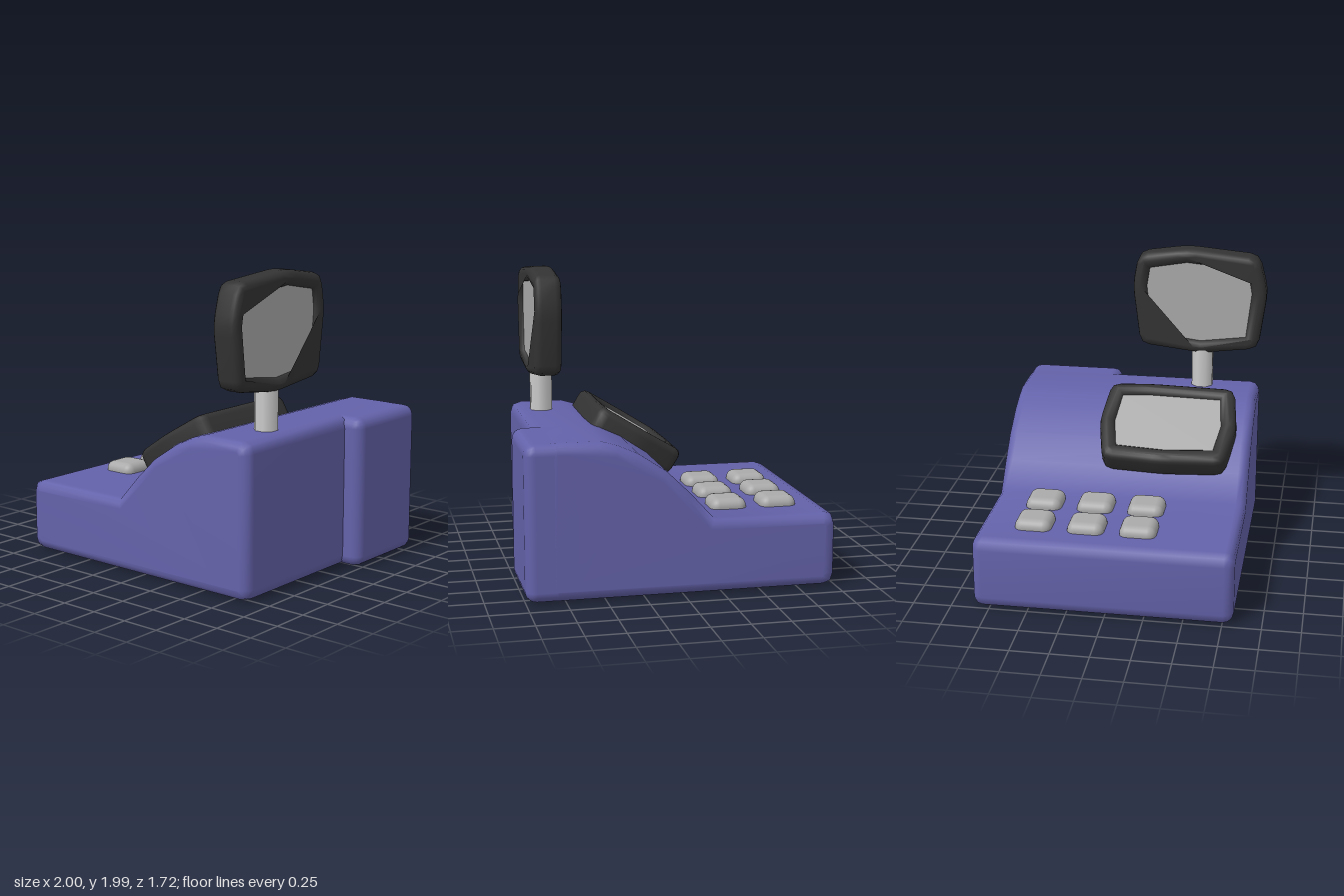
import * as THREE from 'three';
import { mergeVertices } from 'three/addons/utils/BufferGeometryUtils.js';
import { RoundedBoxGeometry } from 'three/addons/geometries/RoundedBoxGeometry.js';

const mat = (color) => new THREE.MeshStandardMaterial({ color });
const purple = mat(0x6462aa), dark = mat(0x333333), grey = mat(0xaaaaaa), light = mat(0xcccccc);

function mesh(name, geometry, material, x = 0, y = 0, z = 0) {
  const m = new THREE.Mesh(geometry, material);
  m.name = name;
  m.position.set(x, y, z);
  return m;
}

// Polygon whose corners are softened by a given radius (third value, or the default)
function softPoints(points, radius) {
  const v = points.map(([x, y]) => new THREE.Vector2(x, y));
  const out = [];
  v.forEach((p, i) => {
    const r = points[i][2] ?? radius;
    if (r === 0) return out.push(p);
    const prev = v[(i + v.length - 1) % v.length], next = v[(i + 1) % v.length];
    const a = p.clone().add(prev.clone().sub(p).setLength(r));
    const b = p.clone().add(next.clone().sub(p).setLength(r));
    const mid = p.clone().multiplyScalar(0.5).addScaledVector(a, 0.25).addScaledVector(b, 0.25);
    out.push(a, mid, b);
  });
  return out;
}

// Extrusion centred on z with rounded rims and area-weighted smooth normals
function softExtrude(shape, depth, bevel) {
  const raw = new THREE.ExtrudeGeometry(shape, {
    depth: depth - 2 * bevel, bevelEnabled: true, bevelThickness: bevel,
    bevelSize: bevel, bevelOffset: -bevel, bevelSegments: 3,
  });
  raw.translate(0, 0, bevel - depth / 2);
  raw.deleteAttribute('uv');
  raw.deleteAttribute('normal');
  const geo = mergeVertices(raw, 1e-4);
  geo.computeVertexNormals();
  return geo;
}

// Rounded frame holding a screen that shows on both faces
function display(name, outer, inner) {
  const group = new THREE.Group();
  group.name = name;
  const shape = new THREE.Shape(softPoints(outer, 0.065));
  shape.holes.push(new THREE.Path(inner.map(([x, y]) => new THREE.Vector2(x, y)).reverse()));
  group.add(mesh('frame', softExtrude(shape, 0.18, 0.045), dark));
  const pane = new THREE.Shape(inner.map(([x, y]) => new THREE.Vector2(x * 1.06, y * 1.06)));
  const paneGeo = new THREE.ExtrudeGeometry(pane, { depth: 0.12, bevelEnabled: false });
  group.add(mesh('screen', paneGeo.translate(0, 0, -0.06), grey));
  return group;
}

export function createModel() {
  const model = new THREE.Group();
  model.name = 'cashRegister';

  // Body: low keypad deck, curved slope, tall rear part
  const profile = [
    [-1, 0], [0.88, 0], [0.88, 1], [0.52, 1, 0], [0.41, 0.968, 0], [0.28, 0.91, 0],
    [0.1, 0.79, 0], [-0.05, 0.645, 0], [-0.2, 0.48, 0], [-1, 0.48],
  ];
  const bodyShape = new THREE.Shape(softPoints(profile, 0.075));
  model.add(mesh('body', softExtrude(bodyShape, 1.68, 0.065), purple, 0, 0, -0.02));

  // Side block standing proud of the tall end
  model.add(mesh('sideBlock', new RoundedBoxGeometry(0.4, 1, 0.67, 2, 0.07), purple, 0.8, 0.5, -0.525));

  // Keypad: two columns of three
  const keyGeo = new RoundedBoxGeometry(0.238, 0.13, 0.238, 3, 0.055);
  for (const x of [-0.693, -0.36])
    for (const z of [-0.5, -0.158, 0.18]) model.add(mesh('key', keyGeo, grey, x, 0.48, z));

  // Customer display on its pole, facing both sides
  const poleGeo = new THREE.CylinderGeometry(0.078, 0.078, 0.38, 8).rotateY(Math.PI / 8);
  model.add(mesh('pole', poleGeo, light, 0.708, 1.13, 0.42));
  const customer = display('customerDisplay',
    [[-0.42, -0.325], [-0.03, -0.375], [0.41, -0.325], [0.465, 0.1],
      [0.425, 0.325], [0.085, 0.375], [-0.41, 0.33], [-0.475, 0.08]],
    [[-0.33, -0.24], [-0.02, -0.28], [0.325, -0.24], [0.36, 0.1],
      [0.34, 0.227], [0.085, 0.272], [-0.335, 0.233], [-0.365, 0.07]]);
  customer.position.set(0.717, 1.62, 0.39);
  customer.rotation.y = Math.PI / 2;
  model.add(customer);

  // Operator display lying on the slope
  const operator = display('operatorDisplay',
    [[-0.41, -0.315], [0, -0.335], [0.41, -0.315], [0.47, 0],
      [0.43, 0.325], [-0.15, 0.34], [-0.43, 0.325], [-0.47, 0]],
    [[-0.325, -0.2], [0, -0.22], [0.325, -0.2], [0.36, 0],
      [0.335, 0.225], [-0.15, 0.237], [-0.335, 0.225], [-0.36, 0]]);
  const tilt = THREE.MathUtils.degToRad(31.5);
  const up = new THREE.Vector3(Math.cos(tilt), Math.sin(tilt), 0);
  const normal = new THREE.Vector3(-Math.sin(tilt), Math.cos(tilt), 0);
  operator.quaternion.setFromRotationMatrix(
    new THREE.Matrix4().makeBasis(new THREE.Vector3(0, 0, 1), up, normal));
  operator.position.set(0.153, 0.853, 0.25);
  model.add(operator);

  return model;
}
